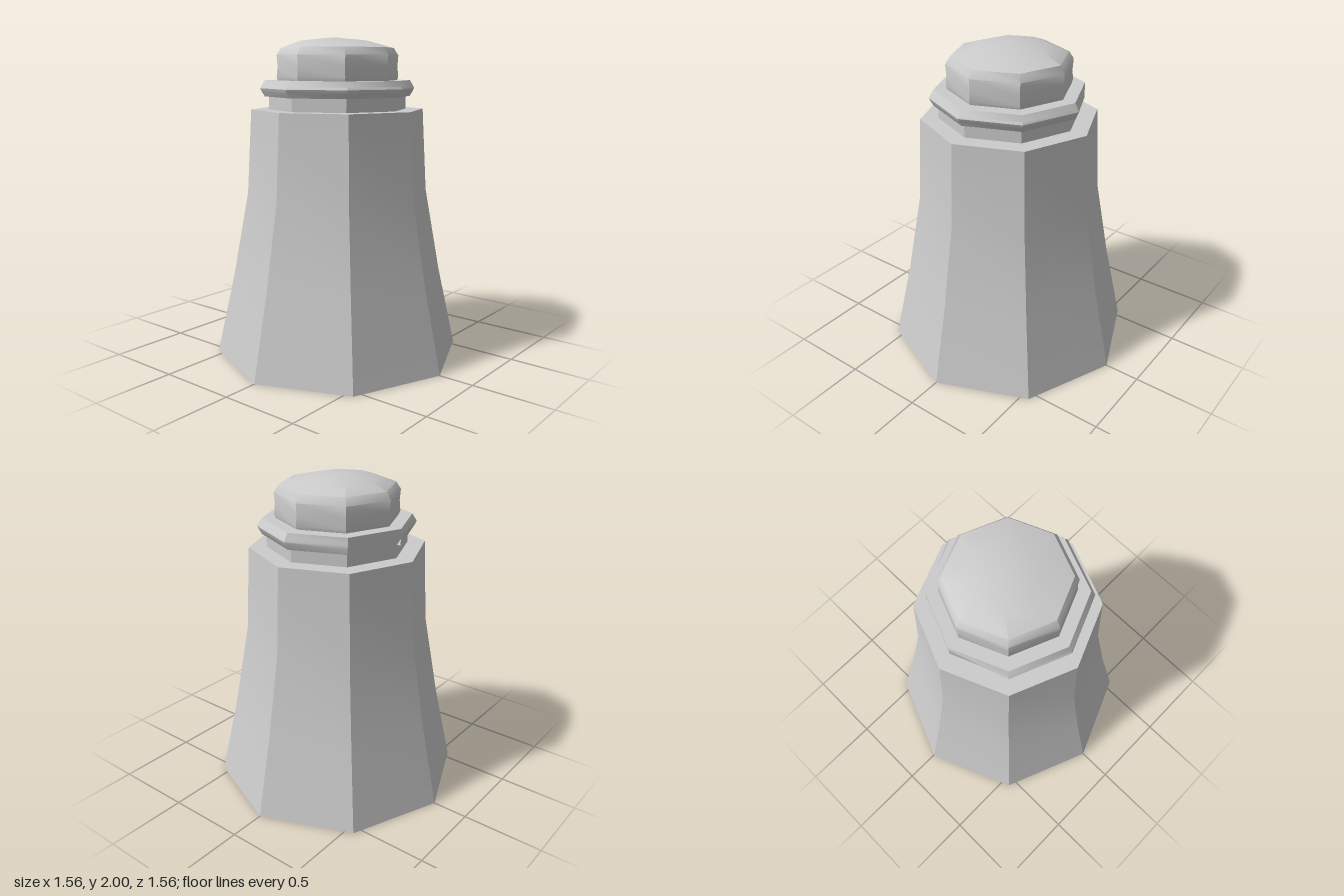
import * as THREE from 'three';
import { toCreasedNormals } from 'three/addons/utils/BufferGeometryUtils.js';

const material = new THREE.MeshStandardMaterial({ color: 0xcccccc, side: THREE.DoubleSide });
const STEP = Math.PI / 4; // one side of the octagon

// Eight-sided turned part, smooth up its profile and sharp between sides.
// move(vertex, column) may shift single vertices.
function turned(name, profile, { sides = 8, start = 0, move } = {}) {
  const points = profile.map(([r, y]) => new THREE.Vector2(r, y));
  const geometry = new THREE.LatheGeometry(points, sides, start, sides * STEP);
  if (move) {
    const pos = geometry.attributes.position;
    const v = new THREE.Vector3();
    for (let i = 0; i < pos.count; i++) {
      v.fromBufferAttribute(pos, i);
      move(v, Math.floor(i / points.length));
      pos.setXYZ(i, v.x, v.y, v.z);
    }
  }
  const mesh = new THREE.Mesh(toCreasedNormals(geometry, 0.7), material);
  mesh.name = name;
  return mesh;
}

export function createModel() {
  const group = new THREE.Group();
  group.name = 'octagonalPost';

  // Flared body with closed base and flat shoulder
  group.add(turned('body', [
    [0, 0], [0.78, 0], [0.665, 0.52], [0.57, 1.04], [0.54, 1.56], [0.4, 1.56],
  ]));

  // Neck between shoulder and collar
  group.add(turned('neck', [[0.43, 1.56], [0.43, 1.7]]));

  // Bevelled collar on seven sides, narrowing to the worn side
  group.add(turned('collar', [
    [0.42, 1.64], [0.455, 1.64], [0.475, 1.672], [0.483, 1.69],
    [0.475, 1.705], [0.455, 1.738], [0.35, 1.738],
  ], {
    sides: 7,
    start: 4 * STEP,
    move(v, column) {
      const r = Math.hypot(v.x, v.z);
      if ((column === 0 || column === 7) && r > 0.455) {
        v.x *= 0.455 / r;
        v.z *= 0.455 / r;
      }
    },
  }));

  // Worn collar side at the back: a thin square step
  group.add(turned('collarStep', [
    [0.42, 1.69], [0.455, 1.69], [0.455, 1.738], [0.35, 1.738],
  ], { sides: 1, start: 3 * STEP }));

  // Slightly waisted cap with a shallow dome leaning back
  group.add(turned('cap', [
    [0.372, 1.735], [0.38, 1.76], [0.374, 1.82], [0.379, 1.89],
    [0.35, 1.935], [0.205, 1.98], [0, 2],
  ], {
    move(v) {
      if (v.y > 1.95) v.z -= 0.03;
    },
  }));

  return group;
}
